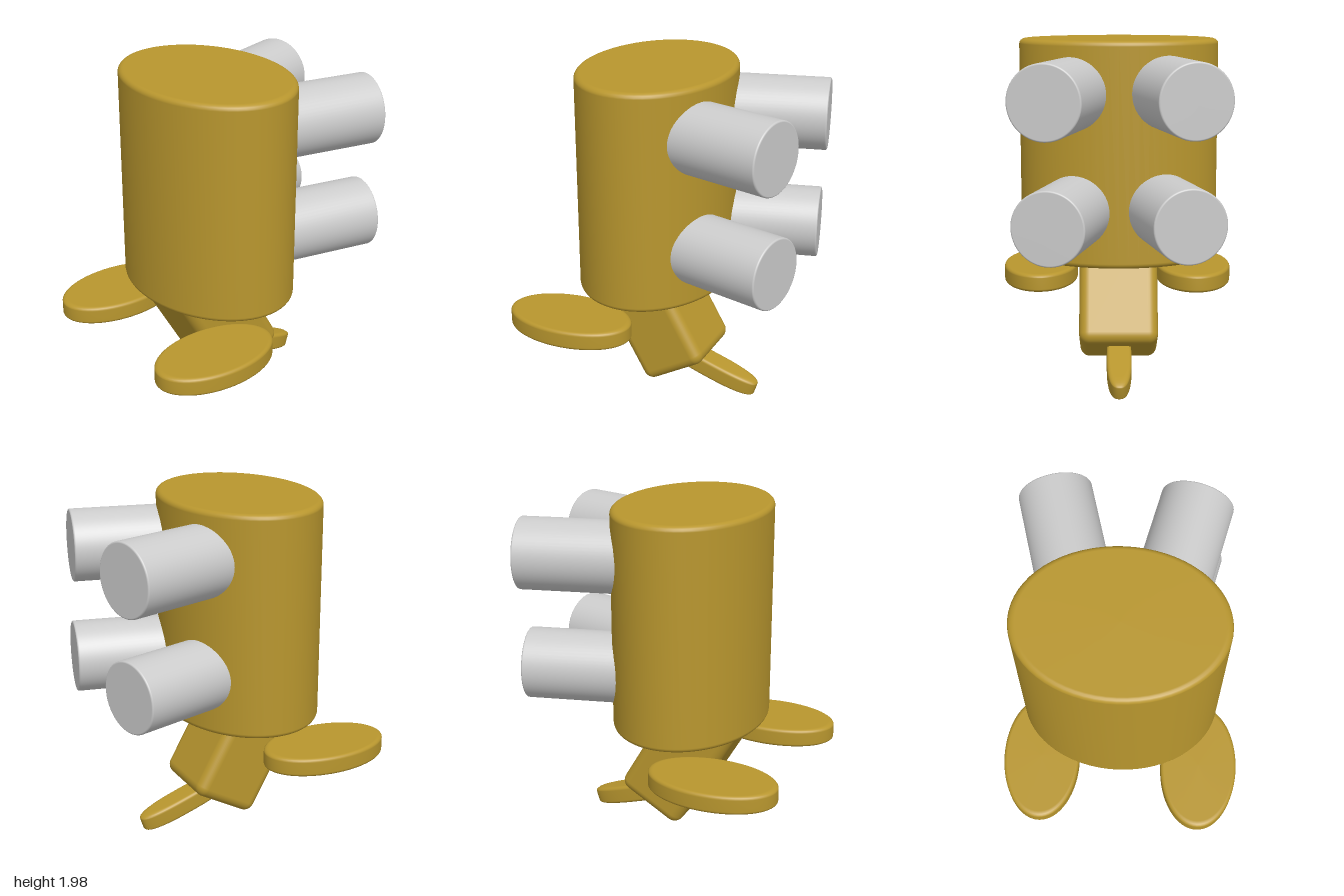
import * as THREE from 'three';
import { RoundedBoxGeometry } from 'three/addons/geometries/RoundedBoxGeometry.js';

const yellow = new THREE.MeshStandardMaterial({ color: 0xb8962e });
const grey = new THREE.MeshStandardMaterial({ color: 0xcccccc });

// Elliptical cylinder about y with rounded rims; power > 2 blunts the ends
function roundedDisc(rx, rz, height, bevel, power = 2) {
  const h = height / 2;
  const profile = [new THREE.Vector2(0, -h)];
  for (const side of [-1, 1]) {
    for (let i = 0; i <= 5; i++) {
      const a = (side < 0 ? i - 5 : i) / 5 * Math.PI / 2;
      profile.push(new THREE.Vector2(
        1 - bevel / Math.min(rx, rz) * (1 - Math.cos(a)),
        side * (h - bevel) + bevel * Math.sin(a)));
    }
  }
  profile.push(new THREE.Vector2(0, h));
  const geo = new THREE.LatheGeometry(profile, 64);
  const p = geo.attributes.position;
  for (let i = 0; i < p.count; i++) {
    const x = p.getX(i), z = p.getZ(i), r = Math.hypot(x, z);
    const c = r ? Math.abs(x) / r : 1, s = r ? Math.abs(z) / r : 0;
    const k = Math.pow(c ** power + s ** power, -1 / power);
    p.setXYZ(i, x * rx * k, p.getY(i), z * rz * k);
  }
  geo.computeVertexNormals();
  // Weld the normals across the lathe seam
  const n = geo.attributes.normal, m = profile.length, last = p.count - m;
  for (let i = 0; i < m; i++) {
    const v = new THREE.Vector3().fromBufferAttribute(n, i)
      .add(new THREE.Vector3().fromBufferAttribute(n, last + i)).normalize();
    n.setXYZ(i, v.x, v.y, v.z);
    n.setXYZ(last + i, v.x, v.y, v.z);
  }
  return geo;
}

export function createModel() {
  const model = new THREE.Group();
  const add = (name, geo, material, x, y, z) => {
    const mesh = new THREE.Mesh(geo, material);
    mesh.name = name;
    mesh.position.set(x, y, z);
    model.add(mesh);
    return mesh;
  };

  // Upright oval body
  add('body', roundedDisc(0.578, 0.434, 1.28, 0.03), yellow, -0.012, 1.36, 0.103);

  // Flat oval feet
  const foot = roundedDisc(0.229, 0.38, 0.11, 0.02);
  add('leftFoot', foot, yellow, 0.473, 0.535, 0.445);
  add('rightFoot', foot, yellow, -0.48, 0.535, 0.424);

  // Slanted block under the body
  const block = add('lowerBlock', new RoundedBoxGeometry(0.46, 0.8, 0.425, 5, 0.06),
    yellow, -0.01, 0.521, 0.1);
  block.rotation.x = Math.PI / 6;

  // Small flat tail
  const tail = add('tail', roundedDisc(0.072, 0.3, 0.11, 0.02, 2.6), yellow, -0.013, 0.149, -0.25);
  tail.rotation.x = -0.31;

  // Four rear cylinders splayed outward; positions are the outer end centres
  const length = 0.75, splay = 0.25;
  const barrel = roundedDisc(0.206, 0.206, length, 0.01);
  barrel.rotateX(-Math.PI / 2);
  barrel.translate(0, 0, length / 2);
  const ends = [
    ['upperLeftCylinder', 0.382, 1.705, -0.76],
    ['upperRightCylinder', -0.412, 1.713, -0.78],
    ['lowerLeftCylinder', 0.367, 1.043, -0.772],
    ['lowerRightCylinder', -0.39, 1.052, -0.762],
  ];
  for (const [name, x, y, z] of ends) {
    add(name, barrel, grey, x, y, z).rotation.y = -Math.sign(x) * splay;
  }
  return model;
}
